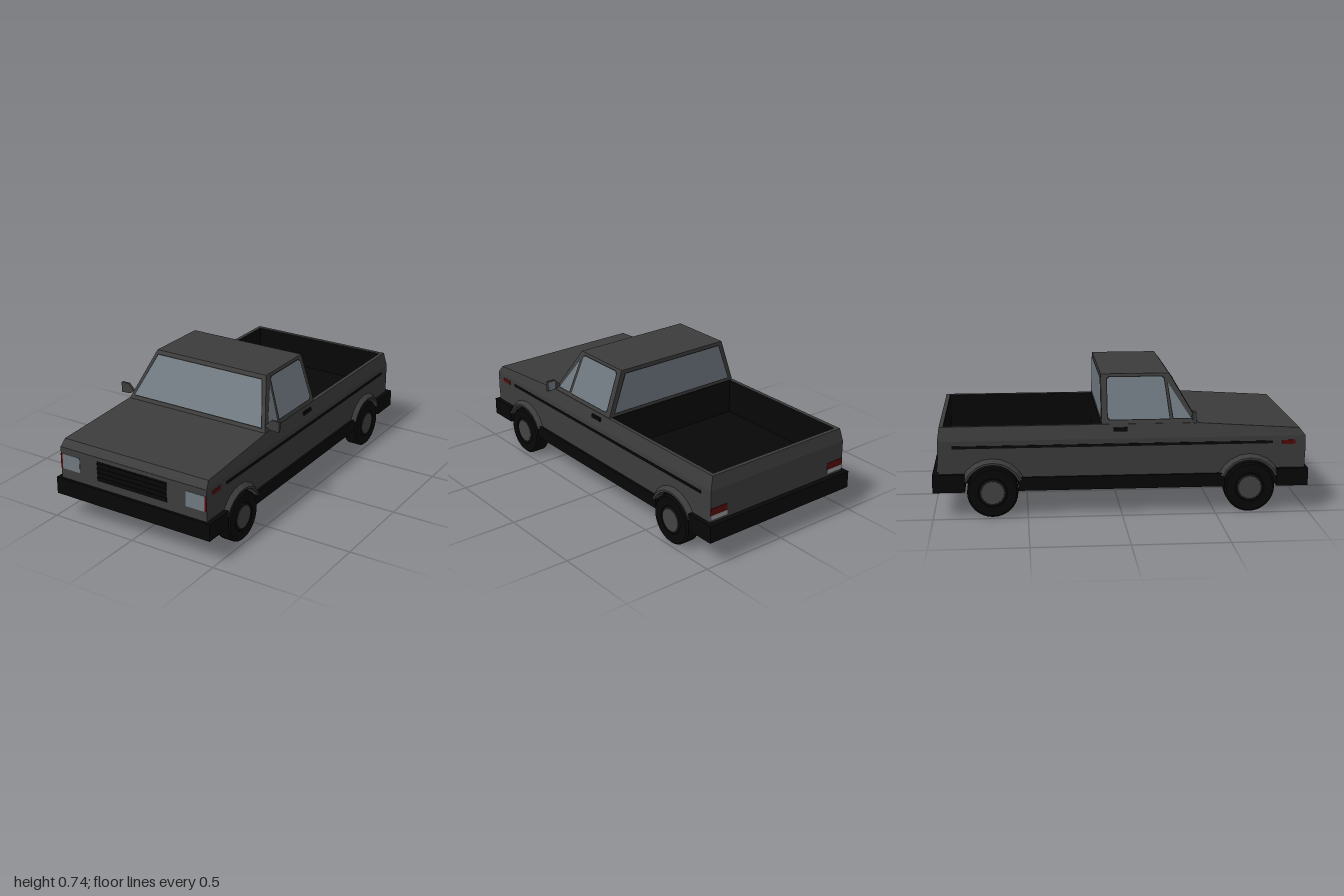
import * as THREE from 'three';

const mat = (name, color, side = THREE.FrontSide) => {
  const m = new THREE.MeshStandardMaterial({ color, side });
  m.name = name;
  return m;
};

export function createModel() {
  const truck = new THREE.Group();
  truck.name = 'pickupTruck';
  const paint = mat('bodyGrey', 0x3c3c3c, THREE.DoubleSide);
  const black = mat('trimBlack', 0x070707, THREE.DoubleSide);
  const seal = mat('sealCharcoal', 0x191919, THREE.DoubleSide);
  const glass = mat('glass', 0x6f7980, THREE.DoubleSide);
  const red = mat('lampRed', 0x560a0a);
  const silver = mat('lampSilver', 0x96999b);
  const steel = mat('wheelSteel', 0x434343);

  const add = (name, geo, material, parent = truck) => {
    const mesh = new THREE.Mesh(geo, material);
    mesh.name = name;
    parent.add(mesh);
    return mesh;
  };
  // Box given by its limits on each axis
  const box = (name, m, x0, x1, y0, y1, z0, z1) => {
    const g = new THREE.BoxGeometry(Math.abs(x1 - x0), y1 - y0, z1 - z0);
    return add(name, g.translate((x0 + x1) / 2, (y0 + y1) / 2, (z0 + z1) / 2), m);
  };
  // Faceted loft through four-point sections, ordered rear to front
  const loft = (name, m, sections) => {
    const v = [];
    const quad = (a, b, c, d) => v.push(...a, ...b, ...c, ...a, ...c, ...d);
    for (let k = 0; k + 1 < sections.length; k++) {
      const A = sections[k], B = sections[k + 1];
      for (let i = 0; i < 4; i++) quad(A[i], A[(i + 1) % 4], B[(i + 1) % 4], B[i]);
    }
    quad(...[...sections[0]].reverse());
    quad(...sections[sections.length - 1]);
    const g = new THREE.BufferGeometry();
    g.setAttribute('position', new THREE.Float32BufferAttribute(v, 3));
    g.computeVertexNormals();
    return add(name, g, m);
  };
  // Symmetric section: bottom half-width, y, z, then the same for the top
  const section = (xb, yb, zb, xt, yt, zt) =>
    [[-xb, yb, zb], [xb, yb, zb], [xt, yt, zt], [-xt, yt, zt]];
  // Flat outline laid onto a sloping surface
  const plate = (name, m, points, place) => {
    const g = new THREE.ShapeGeometry(new THREE.Shape(points.map(p => new THREE.Vector2(...p))));
    const p = g.attributes.position;
    for (let i = 0; i < p.count; i++) p.setXYZ(i, ...place(p.getX(i), p.getY(i)));
    g.computeVertexNormals();
    return add(name, g, m);
  };
  // Pane with a dark seal showing round its edge
  const pane = (name, points, place) => {
    const cx = points.reduce((s, p) => s + p[0], 0) / points.length;
    const cy = points.reduce((s, p) => s + p[1], 0) / points.length;
    const grown = points.map(([a, b]) => [a + Math.sign(a - cx) * 0.005, b + Math.sign(b - cy) * 0.005]);
    plate(name + 'Seal', seal, grown, (a, b) => place(a, b, 0.0015));
    plate(name, glass, points, (a, b) => place(a, b, 0.003));
  };

  // Chassis spine with full-width blocks between the wheel wells
  const wheelZ = [-0.685, 0.685], hubY = 0.135, arch = 0.15;
  box('chassis', black, -0.3, 0.3, 0.14, 0.284, -0.95, 0.95);
  box('floorBlock', black, -0.427, 0.427, 0.14, 0.284, -0.54, 0.54);
  box('frontBlock', black, -0.427, 0.427, 0.14, 0.284, 0.835, 0.96);
  box('rearBlock', black, -0.427, 0.427, 0.14, 0.284, -0.94, -0.835);
  for (const z of wheelZ) box('wheelWellRoof', black, -0.44, 0.44, 0.274, 0.287, z - 0.16, z + 0.16);

  // Bumpers and sills
  box('frontBumper', black, -0.483, 0.483, 0.14, 0.235, 0.83, 1);
  box('rearBumper', black, -0.483, 0.483, 0.14, 0.235, -1, -0.83);
  box('sills', black, -0.472, 0.472, 0.14, 0.212, -0.55, 0.55);

  // Nose, bonnet and cab base
  box('nose', paint, -0.457, 0.457, 0.22, 0.411, 0.85, 0.985);
  loft('bonnet', paint, [
    section(0.458, 0.41, -0.105, 0.44, 0.485, -0.105),
    section(0.458, 0.41, 0.41, 0.44, 0.485, 0.41),
    section(0.458, 0.41, 0.985, 0.449, 0.45, 0.955),
  ]);

  // Cab and its windows
  loft('cab', paint, [
    section(0.437, 0.484, -0.105, 0.35, 0.739, -0.105),
    section(0.437, 0.484, 0.41, 0.35, 0.739, 0.26),
  ]);
  const rise = y => (y - 0.485) / 0.255;
  const screen = [[-0.408, 0.506], [0.408, 0.506], [0.332, 0.716], [-0.332, 0.716]];
  pane('windscreen', screen, (x, y, o) => [x, y + o * 0.5, 0.41 - 0.15 * rise(y) + o]);
  pane('rearWindow', screen.map(([x, y]) => [x * 0.98, y]), (x, y, o) => [x, y, -0.105 - o]);
  for (const s of [1, -1]) {
    const side = s > 0 ? 'left' : 'right';
    const onCab = (z, y, o) => [s * (0.437 - 0.087 * rise(y) + o), y, z];
    pane(side + 'DoorWindow', [[0.256, 0.508], [0.232, 0.71], [0.22, 0.722], [-0.06, 0.722],
      [-0.072, 0.71], [-0.072, 0.52], [-0.06, 0.508]], onCab);
    pane(side + 'QuarterWindow', [[0.37, 0.51], [0.277, 0.51], [0.253, 0.69]], onCab);
  }

  // Load bed: floor, tailgate and dark lining
  const bedX = 0.419, bedRear = -0.938;
  box('bedFloor', black, -0.43, 0.43, 0.27, 0.288, -0.95, -0.1);
  box('bedFrontLining', black, -bedX, bedX, 0.285, 0.484, -0.109, -0.104);
  box('tailgateLining', black, -bedX, bedX, 0.285, 0.482, bedRear - 0.002, bedRear + 0.002);
  loft('tailgate', paint, [
    section(0.457, 0.22, -0.97, 0.457, 0.41, -0.97),
    section(0.457, 0.22, bedRear, 0.457, 0.41, bedRear),
  ]);
  loft('tailgateTop', paint, [
    section(0.458, 0.41, -0.97, 0.44, 0.485, -0.96),
    section(0.458, 0.41, bedRear, 0.44, 0.485, bedRear),
  ]);

  // Side panel outline with two wheel openings
  const panel = new THREE.Shape();
  panel.moveTo(-0.97, 0.21);
  for (const z of wheelZ) {
    for (let i = 0; i <= 10; i++) {
      const a = Math.PI * (5 / 6 - (i / 10) * (2 / 3));
      panel.lineTo(z + arch * Math.cos(a), hubY + arch * Math.sin(a));
    }
  }
  panel.lineTo(0.985, 0.21);
  panel.lineTo(0.985, 0.41);
  panel.lineTo(-0.97, 0.41);

  // Wheel arch flare swept round the opening
  const flareGeometry = s => {
    const ring = [[0.15, 0.43], [0.15, 0.482], [0.161, 0.482], [0.181, 0.456]];
    const n = 8, v = [];
    const at = (i, j) => {
      const a = 0.4 + (Math.PI - 0.8) * (i / n);
      return [s * ring[j][1], hubY + ring[j][0] * Math.sin(a), ring[j][0] * Math.cos(a)];
    };
    for (let i = 0; i < n; i++) for (let j = 0; j < 3; j++) {
      const q = [at(i, j), at(i, j + 1), at(i + 1, j + 1), at(i + 1, j)];
      if (s > 0) q.reverse();
      v.push(...q[0], ...q[1], ...q[2], ...q[0], ...q[2], ...q[3]);
    }
    const g = new THREE.BufferGeometry();
    g.setAttribute('position', new THREE.Float32BufferAttribute(v, 3));
    g.computeVertexNormals();
    return g;
  };
  const tyre = new THREE.LatheGeometry([[0, 0], [0.125, 0], [0.135, 0.01], [0.135, 0.077], [0.125, 0.087],
    [0.078, 0.087], [0.074, 0.082], [0, 0.082]].map(p => new THREE.Vector2(...p)), 32).toNonIndexed();
  tyre.computeVertexNormals();

  for (const s of [1, -1]) {
    const side = s > 0 ? 'left' : 'right';
    const g = new THREE.ExtrudeGeometry(panel, { depth: 0.03, bevelEnabled: false });
    add(side + 'SidePanel', g.rotateY(-Math.PI / 2).translate(s > 0 ? 0.458 : -0.428, 0, 0), paint);

    // Bed rail and lining
    const rail = z => {
      const p = [[bedX, 0.41], [0.458, 0.41], [0.44, 0.485], [bedX, 0.485]].map(([x, y]) => [s * x, y, z]);
      return s > 0 ? p : p.reverse();
    };
    loft(side + 'BedRail', paint, [rail(-0.945), rail(-0.105)]);
    box(side + 'BedLining', black, s * (bedX - 0.002), s * (bedX + 0.003), 0.28, 0.483, bedRear, -0.105);

    // Trim, handle and lamps
    box(side + 'TrimStrip', black, s * 0.455, s * 0.462, 0.37, 0.384, -0.895, 0.81);
    box(side + 'DoorHandle', black, s * 0.448, s * 0.457, 0.449, 0.469, -0.045, 0.03);
    box(side + 'SideMarker', red, s * 0.455, s * 0.46, 0.364, 0.386, 0.86, 0.932);
    box(side + 'Headlamp', glass, s * 0.334, s * 0.446, 0.29, 0.375, 0.982, 0.987);
    box(side + 'CornerLamp', red, s * 0.446, s * 0.458, 0.29, 0.375, 0.982, 0.987);
    box(side + 'TailLamp', red, s * 0.35, s * 0.457, 0.274, 0.312, -0.973, -0.968);
    box(side + 'ReverseLamp', silver, s * 0.35, s * 0.457, 0.25, 0.274, -0.973, -0.968);

    // Door mirror
    const mirror = new THREE.Shape([[0.425, 0.515], [0.455, 0.5], [0.508, 0.497], [0.508, 0.556], [0.46, 0.556],
      [0.43, 0.525]].map(([x, y]) => new THREE.Vector2(s * x, y)));
    add(side + 'Mirror', new THREE.ExtrudeGeometry(mirror, { depth: 0.014, bevelEnabled: false })
      .translate(0, 0, 0.375), paint);
    box(side + 'MirrorGlass', glass, s * 0.462, s * 0.504, 0.503, 0.551, 0.373, 0.376);

    // Wheels and flares
    for (const z of wheelZ) {
      const end = z > 0 ? 'Front' : 'Rear';
      add(side + end + 'Flare', flareGeometry(s), paint).position.z = z;
      const wheel = new THREE.Group();
      wheel.name = side + end + 'Wheel';
      wheel.position.set(s * 0.395, hubY, z);
      wheel.rotation.z = -s * Math.PI / 2;
      add('tyre', tyre, black, wheel);
      add('rim', new THREE.CylinderGeometry(0.07, 0.074, 0.006, 24), seal, wheel).position.y = 0.083;
      add('hubDisc', new THREE.CylinderGeometry(0.061, 0.063, 0.006, 24), steel, wheel).position.y = 0.085;
      truck.add(wheel);
    }
  }

  // Grille with slats
  box('grille', black, -0.218, 0.218, 0.277, 0.388, 0.983, 0.987);
  for (let i = 0; i < 4; i++) {
    const y = 0.29 + i * 0.026;
    box('grilleSlat', black, -0.218, 0.218, y, y + 0.012, 0.986, 0.99);
  }
  return truck;
}
